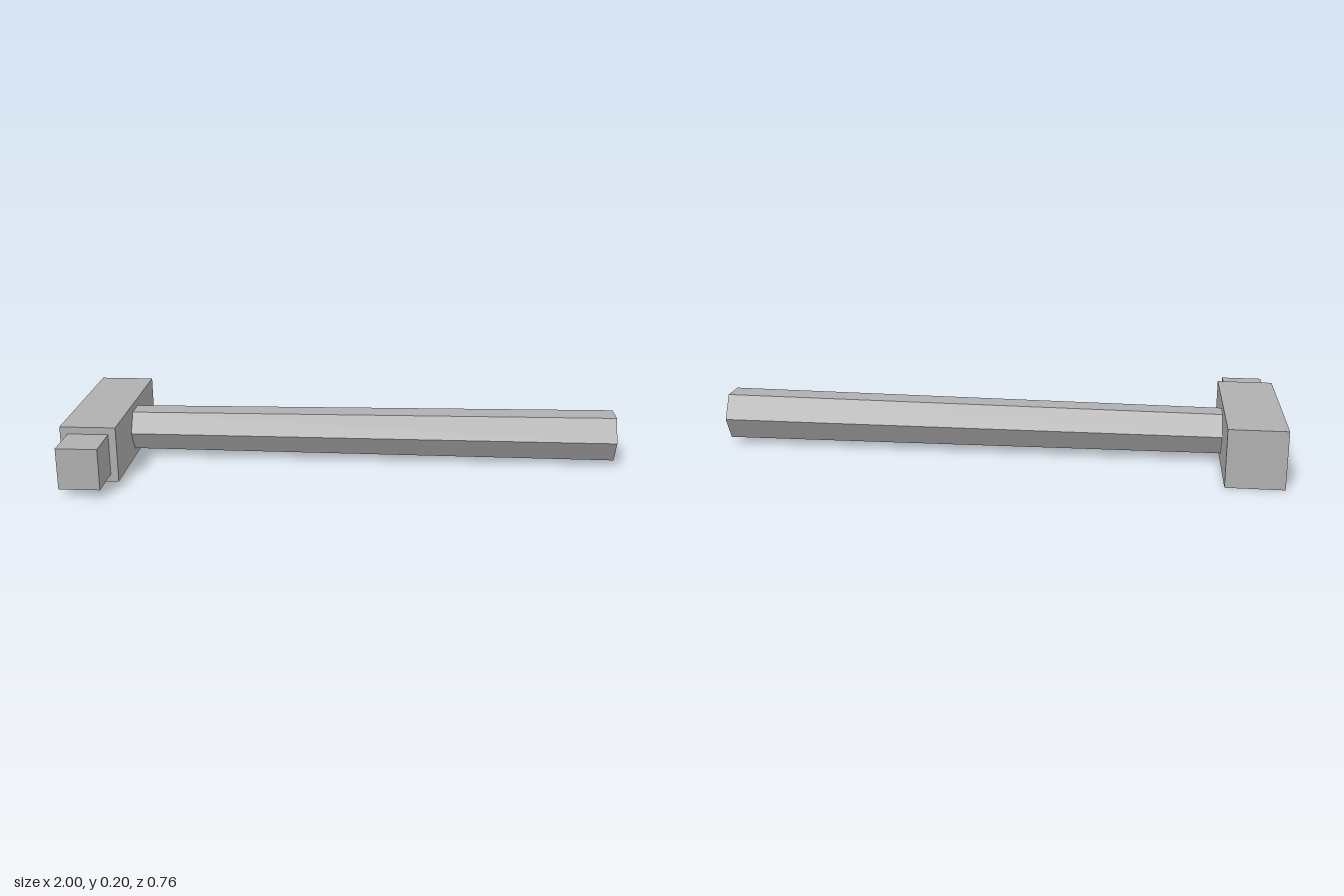
import * as THREE from 'three';

export function createModel() {
  const group = new THREE.Group();
  group.name = 'hammer';

  const steelGrey = new THREE.MeshStandardMaterial({ color: 0xb0b0b0, flatShading: true });
  steelGrey.name = 'steelGrey';

  const addPart = (name, geometry, x, y, z) => {
    const mesh = new THREE.Mesh(geometry, steelGrey);
    mesh.name = name;
    mesh.position.set(x, y, z);
    group.add(mesh);
  };

  // Square head block with a narrower striking face at the front
  addPart('head', new THREE.BoxGeometry(0.2, 0.204, 0.61), -0.9, 0.102, -0.076);
  addPart('strikingFace', new THREE.BoxGeometry(0.146, 0.15, 0.153), -0.9, 0.103, 0.3055);

  // Hexagonal handle along x, slightly thicker at the free end
  const handle = new THREE.CylinderGeometry(0.095, 0.083, 1.8, 6);
  handle.rotateZ(-Math.PI / 2);
  addPart('handle', handle, 0.1, 0.104, -0.076);

  return group;
}
